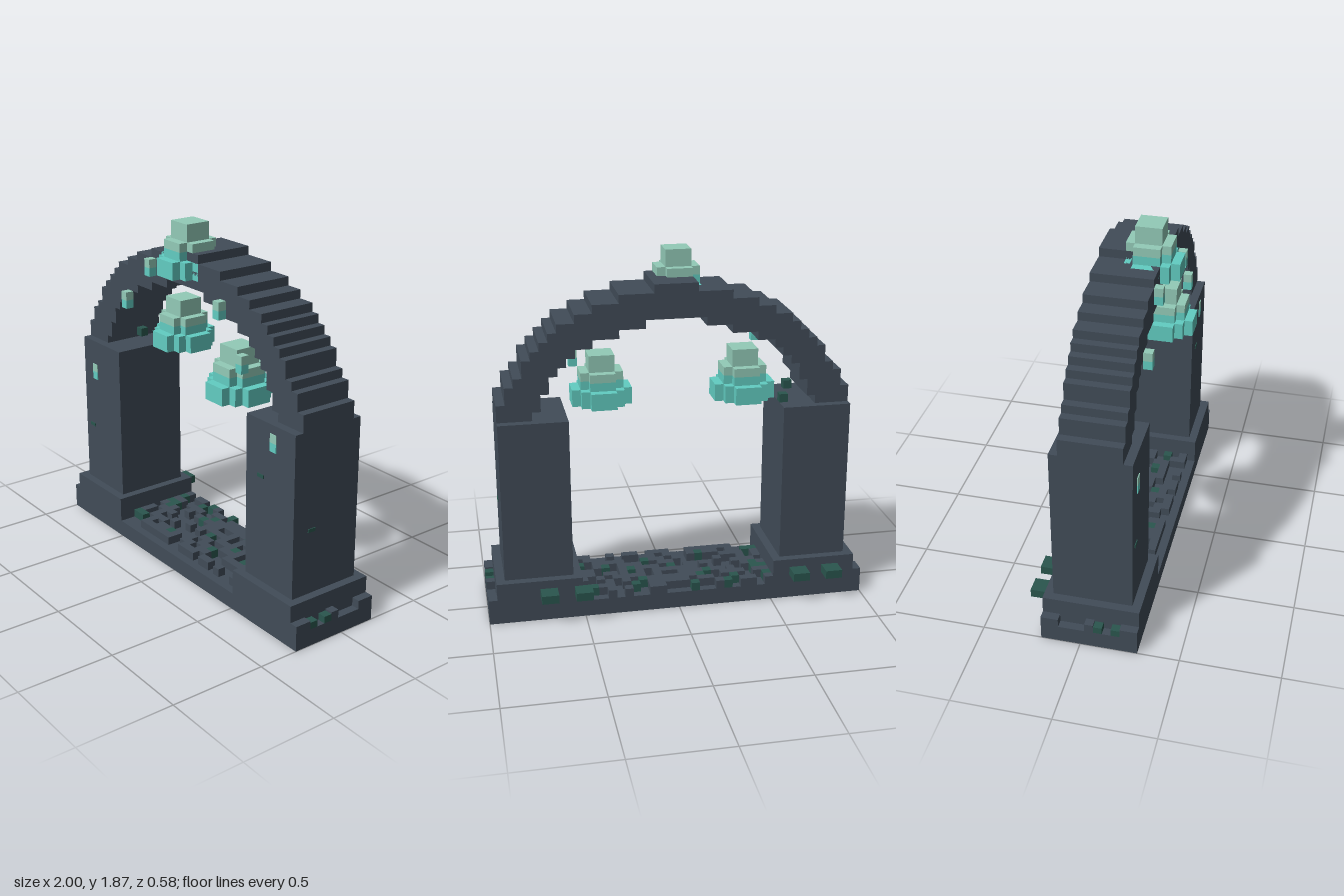
import * as THREE from 'three';
import { mergeGeometries } from 'three/addons/utils/BufferGeometryUtils.js';

const V = 2 / 45; // edge of one cube; all layout below is in cubes

const mat = (name, color) => {
  const m = new THREE.MeshStandardMaterial({ color });
  m.name = name;
  return m;
};

// Box from min and max corners, in cubes
function box(x0, x1, y0, y1, z0, z1) {
  const g = new THREE.BoxGeometry((x1 - x0) * V, (y1 - y0) * V, (z1 - z0) * V);
  return g.translate((x0 + x1) / 2 * V, (y0 + y1) / 2 * V, (z0 + z1) / 2 * V);
}

// Stepped disc, one box per run of equal width; widths run along z
function disc(widths, cx, cz, y0, y1) {
  const n = widths.length, out = [];
  for (let i = 0; i < n;) {
    let j = i;
    while (j < n && widths[j] === widths[i]) j++;
    const w = widths[i] / 2;
    out.push(box(cx - w, cx + w, y0, y1, cz - n / 2 + i, cz - n / 2 + j));
    i = j;
  }
  return out;
}

export function createModel() {
  const root = new THREE.Group();
  root.name = 'stoneArch';
  const stone = mat('slate stone', 0x414c58);
  const moss = mat('dark moss', 0x2a564e);
  const teal = mat('teal glow', 0x62cdc2);
  const pale = mat('pale glow', 0x93cbb8);
  const add = (name, parts, material, parent = root) => {
    const m = new THREE.Mesh(mergeGeometries(parts), material);
    m.name = name;
    parent.add(m);
  };

  // Base slab, plinths and pillars
  add('baseSlab', [box(-22.5, 22.5, 0, 2, -4.5, 6.5)], stone);
  for (const s of [1, -1]) {
    const side = s > 0 ? 'left' : 'right';
    const span = (a, b, ...r) => (s > 0 ? box(a, b, ...r) : box(-b, -a, ...r));
    add(side + 'Plinth', [span(11.5, 21.5, 2, 5, -4.5, 6.5)], stone);
    add(side + 'Pillar', [span(12.5, 20.5, 5, 24, -3.5, 5.5)], stone);
    // Broken ledge at the end of the base
    add(side + 'Ledge', [span(21.5, 22.5, 2, 3, 4.5, 6.5),
      span(21.5, 22.5, 2, 3, 0.5, 1.5), span(21.5, 22.5, 2, 3, -4.5, -2.5)], stone);
    add(side + 'LedgeMoss', [span(21.5, 22.5, 2, 2.8, 3.5, 4.5),
      span(21.5, 22.5, 2, 2.8, 1.5, 2.5)], moss);
  }

  // Arch: outer and inner half widths, row by row from the pillar tops
  const outer = [20.5, 20.5, 19.5, 19.5, 18.5, 17.5, 17.5, 16.5, 15.5, 14.5, 13.5, 11.5, 9.5, 6.5, 2.5];
  const inner = [16.5, 15.5, 15.5, 14.5, 14.5, 13.5, 12.5, 11.5, 9.5, 6.5, 3.5];
  const arch = [];
  outer.forEach((o, i) => {
    const y = 24 + i, n = inner[i];
    if (n === undefined) arch.push(box(-o, o, y, y + 1, -2.5, 4.5));
    else arch.push(box(-o, -n, y, y + 1, -2.5, 4.5), box(n, o, y, y + 1, -2.5, 4.5));
  });
  add('arch', arch, stone);

  // Rough paving between the plinths
  let seed = 7;
  const rand = () => (seed = (seed * 16807) % 2147483647) / 2147483647;
  const paving = [], pavingMoss = [];
  for (let z = -4; z <= 5; z++) {
    for (let x = -11; x <= 11; x++) {
      const r = rand();
      if (r < 0.5) paving.push(box(x - 0.5, x + 0.5, 2, 3, z - 0.5, z + 0.5));
      else if (r < 0.6) pavingMoss.push(box(x - 0.5, x + 0.5, 2, 3, z - 0.5, z + 0.5));
    }
  }
  add('pavingStones', paving, stone);
  add('pavingMoss', pavingMoss, moss);

  // Moss pads on the back, clumps under the arch and flecks on the pillars
  add('backMoss', [-19.5, -15.5, 10.5, 14.5].map(x => box(x, x + 2, 3, 4, -6.5, -4.5)), moss);
  add('archMoss', [box(-14.5, -13.5, 25, 26, 0.5, 1.5), box(-13.5, -12.5, 24, 25, -1.5, -0.5)], moss);
  add('pillarMoss', [box(-19.5, -18.5, 12.4, 12.8, 5.5, 5.6), box(14.5, 15.5, 17.4, 17.8, 5.5, 5.6),
    box(20.5, 20.6, 12.4, 12.8, 2.5, 3.5)], moss);

  // Bell-shaped glowing clusters: centre x, base y, centre z
  const wide = [3, 5, 7, 7, 7, 5, 3], mid = [3, 5, 5, 5, 3];
  [['topCluster', -1, 36, 3], ['rightCluster', -8, 25, -1], ['leftCluster', 8, 24, 3]]
    .forEach(([name, x, y, z]) => {
      const g = new THREE.Group();
      g.name = name;
      root.add(g);
      add('lowerTier', [...disc(wide, x, z, y, y + 2), ...disc(mid, x, z, y + 2, y + 3)], teal, g);
      add('upperTier', [...disc(mid, x, z, y + 3, y + 4), ...disc([3, 3, 3], x, z, y + 4, y + 6)], pale, g);
    });

  // Small two-tone lights: on the arch face they stand out, on the pillars they are flush
  const lights = [[-6.5, 35, 4.5, 1], [-11.5, 30, 4.5, 1], [6.5, 33, 4.5, 1], [10.5, 28, 4.5, 1],
    [-18.5, 19, 5.5, 0.1], [16.5, 21, 5.5, 0.1]];
  add('lightBottoms', lights.map(([x, y, z, d]) => box(x, x + 1, y, y + 1, z, z + d)), teal);
  add('lightTops', lights.map(([x, y, z, d]) => box(x, x + 1, y + 1, y + 2, z, z + d)), pale);

  return root;
}
